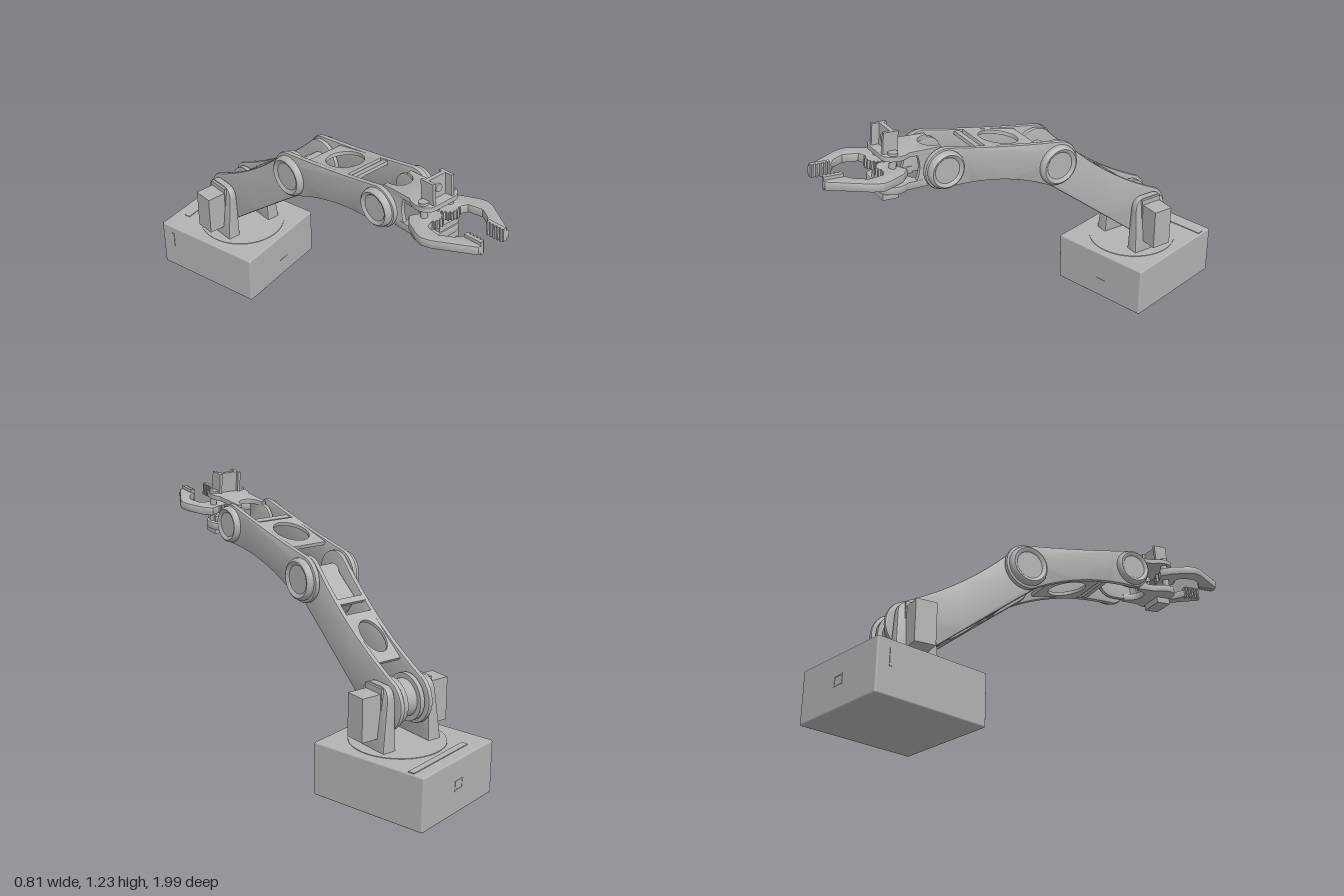
import * as THREE from 'three';
import { toCreasedNormals } from 'three/addons/utils/BufferGeometryUtils.js';
import { RoundedBoxGeometry } from 'three/addons/geometries/RoundedBoxGeometry.js';

const grey = new THREE.MeshStandardMaterial({ color: 0xb2b2b2 });
grey.name = 'plainGrey';

function add(parent, name, geo, x = 0, y = 0, z = 0) {
  const m = new THREE.Mesh(geo, grey);
  m.name = name;
  m.position.set(x, y, z);
  parent.add(m);
  return m;
}
const box = (w, h, d) => new THREE.BoxGeometry(w, h, d);
const cyl = (r, h, n = 40) => new THREE.CylinderGeometry(r, r, h, n);
const axle = (r, h, n) => cyl(r, h, n).rotateZ(Math.PI / 2);

// Extrusion centred on its thickness
function slab(shape, t, bevel = 0.004) {
  const g = new THREE.ExtrudeGeometry(shape, {
    depth: t - 2 * bevel, bevelEnabled: bevel > 0, bevelSize: bevel, bevelThickness: bevel,
    bevelOffset: -bevel, bevelSegments: 2, curveSegments: 24,
  });
  g.translate(0, 0, -(t - 2 * bevel) / 2);
  return g;
}
// Upright plate: shape is drawn in (z, y), thickness along x
const sidePlate = (shape, t, b) => toCreasedNormals(slab(shape, t, b).rotateY(-Math.PI / 2), 0.5);
// Lying plate: shape is drawn in (x, z), thickness along y
const flatPlate = (shape, t, b) => toCreasedNormals(slab(shape, t, b).rotateX(Math.PI / 2), 0.5);
const poly = (pts) => new THREE.Shape(pts.map((p) => new THREE.Vector2(p[0], p[1])));

function frame(w, h, rim) {
  const s = poly([[-w, -h], [w, -h], [w, h], [-w, h]]);
  s.holes.push(poly([[-w + rim, -h + rim], [-w + rim, h - rim], [w - rim, h - rim], [w - rim, -h + rim]]));
  return new THREE.ExtrudeGeometry(s, { depth: 0.004, bevelEnabled: false });
}

// Round joint cover with raised rim, domed towards +x or -x
function cap(parent, name, r, x, z, side) {
  const pts = [[0, 0.02], [0.68, 0.02], [0.74, 0.026], [0.86, 0.03], [0.95, 0.024], [1, 0.012], [1, -0.005]]
    .reverse().map(([a, b]) => new THREE.Vector2(a * r, b));
  const g = toCreasedNormals(new THREE.LatheGeometry(pts, 48).rotateZ(-side * Math.PI / 2), 0.6);
  add(parent, name, g, x * side, 0, z);
}

// Side outline of an arm link with two round ends and a waist
function linkShape(L, r0, r1, half, arch) {
  const avg = (r0 + r1) / 2, s = new THREE.Shape();
  const c = 2 * half - avg;
  s.absarc(0, 0, r0, Math.PI / 2, Math.PI * 1.5, false);
  s.quadraticCurveTo(L / 2, -c + 2 * arch, L, -r1);
  s.absarc(L, 0, r1, -Math.PI / 2, Math.PI / 2, false);
  s.quadraticCurveTo(L / 2, c + 2 * arch, 0, r0);
  return s;
}

function makeLink(name, o) {
  const g = new THREE.Group();
  g.name = name;
  for (const side of [-1, 1]) {
    add(g, 'sideRail', sidePlate(linkShape(o.L, o.r0, o.r1, o.half, o.arch), o.t, 0.008), side * (o.w - o.t / 2));
  }
  // Top and bottom covers with an oval opening
  const w = o.w - o.t * 0.6;
  for (const side of [-1, 1]) {
    const s = poly([[-w, o.a], [w, o.a], [w, o.b], [-w, o.b]]);
    const hole = new THREE.Path();
    hole.absellipse(0, (o.h0 + o.h1) / 2, w * 0.76, (o.h1 - o.h0) / 2, 0, Math.PI * 2, true);
    s.holes.push(hole);
    add(g, 'cover', flatPlate(s, 0.018, 0.002), 0, o.arch + side * (o.half - 0.012), 0);
    add(g, 'crossBar', box(2 * w, 0.016, 0.03), 0, o.arch * 0.7 + side * (o.half - 0.012), o.bar);
  }
  return g;
}

function makeBase() {
  const g = new THREE.Group();
  g.name = 'base';
  add(g, 'housing', new RoundedBoxGeometry(0.527, 0.25, 0.58, 3, 0.008), 0.136, 0.125, -0.71);
  add(g, 'turntable', cyl(0.217, 0.006, 72), 0.138, 0.25, -0.677);
  add(g, 'rearStrip', box(0.4, 0.006, 0.03), 0.19, 0.251, -0.93);
  add(g, 'frontSlit', box(0.06, 0.005, 0.006), 0.15, 0.1, -0.421);
  add(g, 'rearSocket', frame(0.03, 0.024, 0.007), 0.135, 0.13, -1.002);
  add(g, 'sideSwitch', box(0.005, 0.08, 0.016), -0.128, 0.17, -0.93);
  return g;
}

// Flared upright carrying a shoulder motor
function makeShoulderBracket(side) {
  const g = new THREE.Group();
  g.name = 'shoulderBracket';
  const s = new THREE.Shape();
  s.moveTo(-0.1, 0.25);
  s.lineTo(0.1, 0.25);
  s.lineTo(0.088, 0.47);
  s.quadraticCurveTo(0.085, 0.535, 0.03, 0.535);
  s.lineTo(-0.03, 0.535);
  s.quadraticCurveTo(-0.085, 0.535, -0.088, 0.47);
  const geo = sidePlate(s, 0.034, 0.006), p = geo.attributes.position;
  for (let i = 0; i < p.count; i++) {
    if (p.getX(i) * side > 0) p.setX(i, p.getX(i) + side * 0.035 * (0.535 - p.getY(i)) / 0.285);
  }
  add(g, 'upright', toCreasedNormals(geo, 0.5), side * 0.11);
  add(g, 'motor', box(0.12, 0.2, 0.1), side * 0.177, 0.405, 0);
  add(g, 'motorFlange', box(0.012, 0.25, 0.11), side * 0.135, 0.405, 0);
  add(g, 'hub', axle(0.04, 0.05), side * 0.09, 0.44, 0);
  return g;
}

function makeFinger(side) {
  const g = new THREE.Group();
  g.name = 'finger';
  const out = [[0.035, 0.25], [0.06, 0.205], [0.11, 0.18], [0.15, 0.22], [0.187, 0.3], [0.195, 0.335],
    [0.183, 0.38], [0.088, 0.55], [0.064, 0.55], [0.058, 0.455], [0.098, 0.425], [0.128, 0.37], [0.115, 0.3], [0.06, 0.275]];
  add(g, 'jaw', flatPlate(poly(out.map(([x, z]) => [x * side, z])), 0.042, 0.008), 0, 0.01, 0);
  add(g, 'tipPad', box(0.016, 0.06, 0.09), side * 0.066, 0.016, 0.505);
  for (let i = 0; i < 5; i++) add(g, 'gripTooth', box(0.012, 0.06, 0.009), side * 0.055, 0.016, 0.468 + i * 0.018);
  // Toothed wheel driving the jaw
  const teeth = [];
  for (let i = 0; i < 64; i++) {
    const r = i % 4 < 2 ? 0.052 : 0.043, a = (i / 64) * Math.PI * 2;
    teeth.push([Math.cos(a) * r, Math.sin(a) * r]);
  }
  add(g, 'gear', flatPlate(poly(teeth), 0.04, 0), side * 0.05, 0.01, 0.25);
  add(g, 'pivotPost', cyl(0.016, 0.16, 24), side * 0.075, 0.005, 0.235);
  add(g, 'pivotHead', cyl(0.022, 0.012, 24), side * 0.075, 0.098, 0.235);
  return g;
}

function makeGripper() {
  const g = new THREE.Group();
  g.name = 'gripper';
  // Wrist fork
  const fork = new THREE.Shape();
  fork.absarc(0, 0, 0.078, Math.PI / 2, Math.PI * 1.5, false);
  fork.lineTo(0.13, -0.08);
  fork.quadraticCurveTo(0.08, 0, 0.13, 0.088);
  fork.lineTo(0, 0.085);
  for (const side of [-1, 1]) {
    add(g, 'wristFork', sidePlate(fork, 0.02, 0.004), side * 0.07);
    g.add(makeFinger(side));
  }
  // Upper and lower carrier plates with rounded noses
  for (const [y, start, t] of [[0.08, 0, 0.024], [-0.068, 0.06, 0.036]]) {
    const s = new THREE.Shape();
    s.moveTo(-0.08, start);
    s.lineTo(-0.085, 0.16);
    s.quadraticCurveTo(-0.105, 0.19, -0.105, 0.225);
    s.quadraticCurveTo(-0.1, 0.285, -0.05, 0.285);
    s.lineTo(0.05, 0.285);
    s.quadraticCurveTo(0.1, 0.285, 0.105, 0.225);
    s.quadraticCurveTo(0.105, 0.19, 0.085, 0.16);
    s.lineTo(0.08, start);
    s.lineTo(0.058, start);
    s.quadraticCurveTo(0.05, start + 0.07, 0, start + 0.07);
    s.quadraticCurveTo(-0.05, start + 0.07, -0.058, start);
    add(g, 'carrierPlate', flatPlate(s, t, 0.004), 0, y, 0);
  }
  // Channel-shaped tower on top and motor underneath
  for (const side of [-1, 1]) add(g, 'towerWall', box(0.014, 0.1, 0.07), side * 0.053, 0.14, 0.24);
  add(g, 'towerWeb', box(0.1, 0.1, 0.02), 0, 0.14, 0.23);
  add(g, 'towerScrew', cyl(0.018, 0.012, 24).rotateX(Math.PI / 2), 0, 0.14, 0.244);
  add(g, 'gripMotor', box(0.11, 0.09, 0.075), 0.025, -0.07, 0.24);
  return g;
}

export function createModel() {
  const model = new THREE.Group();
  model.name = 'robotArm';
  model.add(makeBase());

  // Everything above the turntable turns together
  const arm = new THREE.Group();
  arm.name = 'arm';
  arm.position.set(0.138, 0, -0.677);
  arm.rotation.y = -0.244;
  model.add(arm);
  for (const side of [-1, 1]) arm.add(makeShoulderBracket(side));

  const lower = makeLink('lowerArm', {
    L: 0.704, r0: 0.125, r1: 0.105, half: 0.098, arch: -0.016, w: 0.09, t: 0.024,
    a: 0.15, b: 0.42, h0: 0.2, h1: 0.375, bar: 0.49,
  });
  lower.position.set(0, 0.44, 0);
  lower.rotation.x = -0.658;
  add(lower, 'shoulderDrum', axle(0.085, 0.15));
  for (const side of [-1, 1]) add(lower, 'shoulderWheel', axle(0.108, 0.022), side * 0.045);
  add(lower, 'elbowMotor', box(0.115, 0.1, 0.19), 0, -0.005, 0.61);
  add(lower, 'elbowAxle', axle(0.045, 0.2), 0, 0, 0.704);
  arm.add(lower);

  const fore = makeLink('forearm', {
    L: 0.607, r0: 0.112, r1: 0.098, half: 0.082, arch: 0.017, w: 0.119, t: 0.026,
    a: 0.13, b: 0.41, h0: 0.18, h1: 0.375, bar: 0.44,
  });
  fore.position.set(0, 0.87, 0.557);
  fore.rotation.x = -0.243;
  for (const side of [-1, 1]) {
    cap(fore, 'elbowCap', 0.098, 0.118, 0, side);
    cap(fore, 'wristCap', 0.088, 0.118, 0.607, side);
    add(fore, 'wristHub', axle(0.045, 0.04), side * 0.085, 0, 0.607);
  }
  arm.add(fore);

  const gripper = makeGripper();
  gripper.position.set(0, 1.016, 1.146);
  gripper.rotation.x = -0.1;
  arm.add(gripper);
  return model;
}
